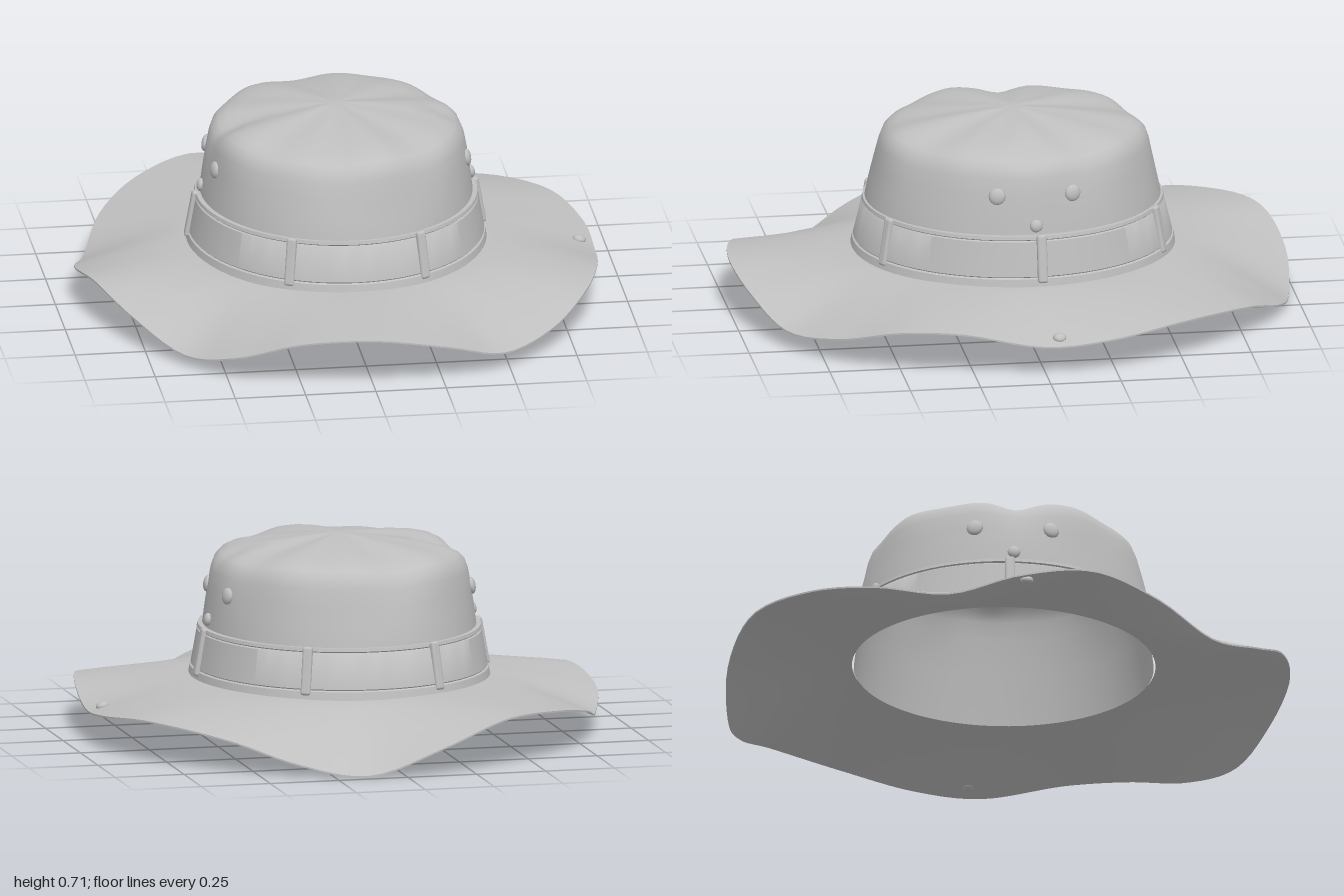
import * as THREE from 'three';
import { toCreasedNormals } from 'three/addons/utils/BufferGeometryUtils.js';
import { RoundedBoxGeometry } from 'three/addons/geometries/RoundedBoxGeometry.js';

const CZ = -0.012; // centre of the crown in z

// Surface swept around the hat: point(u, j) gives row j of the cross-section at turn u (0..1)
function loft(segments, rows, point) {
  const pos = [], index = [];
  for (let i = 0; i < segments; i++)
    for (let j = 0; j < rows; j++) pos.push(...point(i / segments, j));
  for (let i = 0; i < segments; i++) {
    const n = (i + 1) % segments;
    for (let j = 0; j < rows - 1; j++) {
      const a = i * rows + j, c = n * rows + j;
      index.push(a, a + 1, c, a + 1, c + 1, c);
    }
  }
  const g = new THREE.BufferGeometry();
  g.setAttribute('position', new THREE.Float32BufferAttribute(pos, 3));
  g.setIndex(index);
  return toCreasedNormals(g, 0.7);
}

// Wavy outer edge of the brim, from the left side round by the front
const EDGE = new THREE.CatmullRomCurve3([
  [0.917, 0.11, 0], [0.885, 0.16, 0.295], [0.82, 0.155, 0.505], [0.675, 0.095, 0.705],
  [0.48, 0.068, 0.86], [0.27, 0.135, 0.955], [0, 0.19, 1], [-0.26, 0.17, 0.95],
  [-0.47, 0.09, 0.84], [-0.63, 0.042, 0.665], [-0.79, 0.115, 0.45], [-0.89, 0.165, 0.215],
  [-0.925, 0.12, -0.05], [-0.86, 0.068, -0.29], [-0.765, 0.125, -0.55], [-0.605, 0.17, -0.765],
  [-0.37, 0.18, -0.94], [-0.13, 0.098, -1], [0.135, 0.006, -0.975], [0.37, 0.045, -0.91],
  [0.585, 0.115, -0.775], [0.82, 0.15, -0.5], [0.91, 0.125, -0.235],
].map((p) => new THREE.Vector3(...p)), true);

function brimGeometry() {
  const steps = 10, thick = 0.012;
  return loft(120, steps * 2 + 2, (u, j) => {
    const under = j <= steps;
    const t = (under ? j : 2 * steps + 1 - j) / steps;
    const e = EDGE.getPoint(u), a = Math.atan2(e.z, e.x);
    const x0 = 0.49 * Math.cos(a), z0 = CZ + 0.535 * Math.sin(a);
    const y = 0.208 + (e.y - 0.208) * Math.pow(t, 1.5);
    return [x0 + (e.x - x0) * t, y - (under ? thick * (1 - 0.5 * t) : 0), z0 + (e.z - z0) * t];
  });
}

// Crown cross-section: height, radius in x, radius in z
const CROWN = [
  [0.2, 0.5, 0.545], [0.385, 0.48, 0.522], [0.45, 0.472, 0.508], [0.52, 0.462, 0.492],
  [0.58, 0.452, 0.478], [0.615, 0.44, 0.465], [0.637, 0.42, 0.443], [0.652, 0.39, 0.41],
  [0.665, 0.34, 0.35], [0.68, 0.25, 0.26], [0.693, 0.14, 0.15], [0.702, 0.06, 0.06], [0.706, 0, 0],
];

function crownGeometry() {
  const n = CROWN.length;
  return loft(96, n * 2, (u, j) => {
    const inner = j >= n;
    const [y, rx, rz] = CROWN[inner ? 2 * n - 1 - j : j];
    const a = u * Math.PI * 2, k = inner ? 0.97 : 1;
    // soft folds in the cloth, strongest at the shoulder, with a dent on each side
    const soft = THREE.MathUtils.smoothstep(y, 0.45, 0.64) * Math.min(1, rx / 0.3);
    const fold = 0.011 * Math.sin(5 * a + 1) + 0.008 * Math.sin(9 * a + 2.3);
    const side = Math.exp(-Math.pow(Math.sin(a) / 0.16, 2)) * Math.exp(-Math.pow((rx - 0.39) / 0.07, 2));
    const r = k * (1 + soft * fold * 0.8 - soft * side * 0.03);
    const dy = soft * (fold * 0.5 - side * 0.02);
    return [rx * r * Math.cos(a), y + dy - (inner ? 0.012 : 0), CZ + rz * r * Math.sin(a)];
  });
}

// Ribbon cross-section with a grooved seam near each edge
const BAND = [
  [0.2, 0.53, 0.574], [0.232, 0.524, 0.567], [0.236, 0.517, 0.56], [0.24, 0.521, 0.563],
  [0.362, 0.5, 0.534], [0.366, 0.495, 0.529], [0.37, 0.5, 0.533], [0.382, 0.497, 0.53], [0.383, 0.478, 0.515],
];

function bandGeometry() {
  return loft(72, BAND.length, (u, j) => {
    const [y, rx, rz] = BAND[j], a = u * Math.PI * 2;
    return [rx * Math.cos(a), y, CZ + rz * Math.sin(a)];
  });
}

export function createModel() {
  const hat = new THREE.Group();
  hat.name = 'sunHat';
  const cloth = new THREE.MeshStandardMaterial({ color: 0xbfbfbf });
  cloth.name = 'grey cloth';

  const add = (name, geometry) => {
    const mesh = new THREE.Mesh(geometry, cloth);
    mesh.name = name;
    hat.add(mesh);
    return mesh;
  };

  add('brim', brimGeometry());
  add('crown', crownGeometry());
  add('hatBand', bandGeometry());

  // Six upright loops holding the band
  const loop = new RoundedBoxGeometry(0.036, 0.172, 0.026, 2, 0.01);
  for (const [x, z] of [[1, -0.03], [-1, -0.03], [0.24, 1], [-0.23, 1], [0.24, -1], [-0.23, -1]]) {
    const rx = 0.511, rz = 0.549;
    const a = Math.abs(x) === 1 ? Math.atan2(z / rz, x) : Math.atan2(z * Math.sqrt(1 - (x / rx) ** 2), x / rx);
    const m = add('bandLoop', loop);
    m.position.set(rx * Math.cos(a), 0.302, CZ + rz * Math.sin(a));
    m.rotation.order = 'YXZ';
    m.rotation.set(-0.18, Math.atan2(Math.cos(a) / rx, Math.sin(a) / rz), 0);
  }

  // Round studs: two vents and a snap on each side of the crown
  const stud = new THREE.SphereGeometry(1, 12, 8);
  for (const s of [1, -1]) {
    for (const [name, x, y, z, r] of [
      ['vent', 0.449, 0.52, 0.11, 0.03], ['vent', 0.444, 0.52, -0.16, 0.03], ['sideSnap', 0.481, 0.415, -0.025, 0.023],
    ]) {
      const m = add(name, stud);
      m.position.set(s * x, y, z);
      m.scale.set(r, r, 0.014);
      m.rotation.order = 'YXZ';
      m.rotation.set(-0.15, Math.atan2(s * x, (z - CZ) * 0.9), 0);
    }
  }

  // Snaps near the brim edge
  for (const [x, y, z] of [[0.87, 0.128, -0.05], [-0.872, 0.124, -0.02]]) {
    const m = add('brimSnap', stud);
    m.position.set(x, y, z);
    m.scale.set(0.024, 0.015, 0.024);
    m.rotation.z = x > 0 ? -0.25 : 0.25;
  }
  return hat;
}
